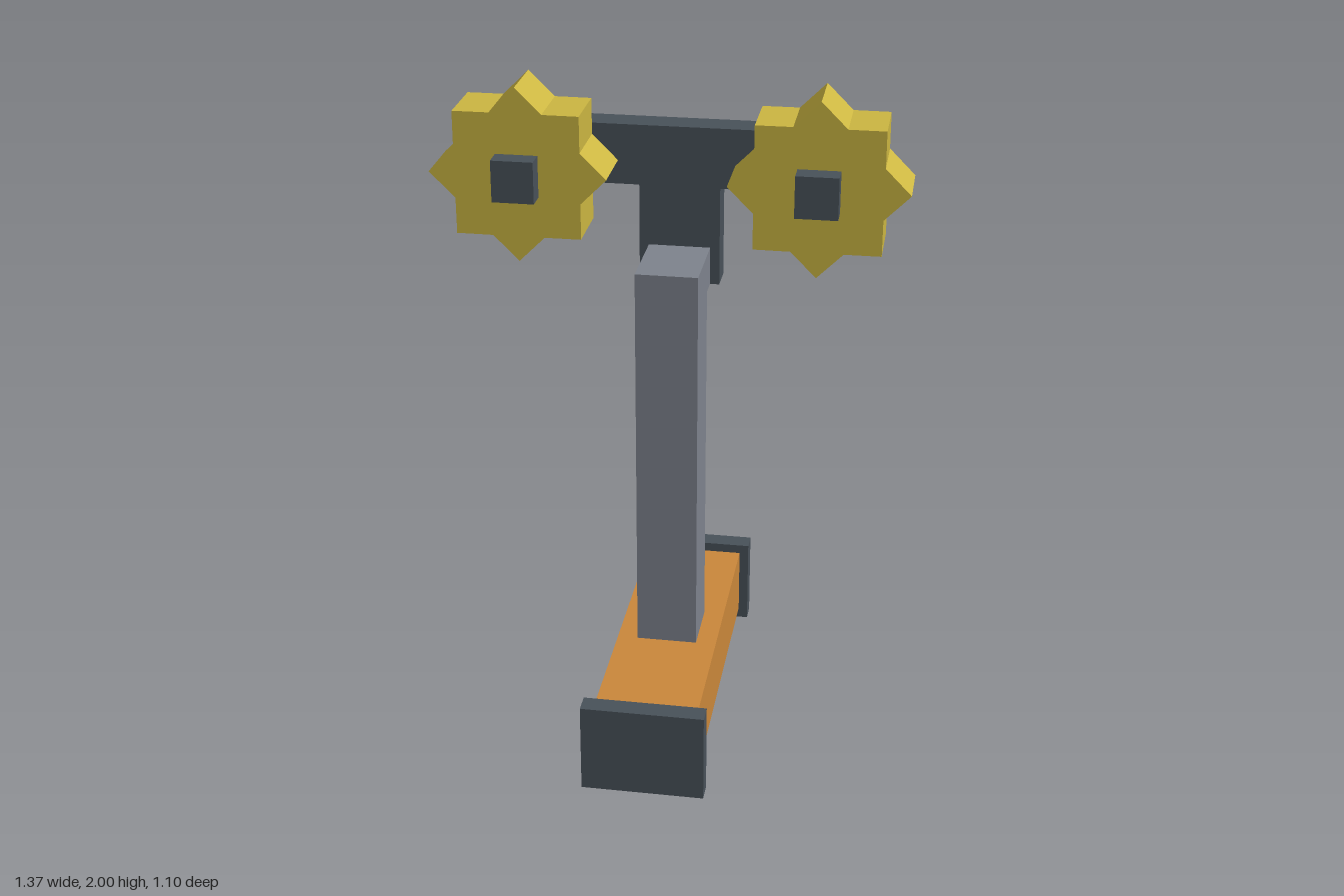
import * as THREE from 'three';

const flat = (name, color) => {
  const m = new THREE.MeshStandardMaterial({ color });
  m.name = name;
  return m;
};

export function createModel() {
  const group = new THREE.Group();
  const slate = flat('slate', 0x49525a);
  const grey = flat('grey', 0x7f848e);
  const orange = flat('orange', 0xcc883b);
  const yellow = flat('yellow', 0xcdb742);
  const amber = flat('amber', 0xd0a040);

  // Box from its min and max corners
  const box = (name, material, [x0, y0, z0], [x1, y1, z1]) => {
    const mesh = new THREE.Mesh(new THREE.BoxGeometry(x1 - x0, y1 - y0, z1 - z0), material);
    mesh.position.set((x0 + x1) / 2, (y0 + y1) / 2, (z0 + z1) / 2);
    mesh.name = name;
    group.add(mesh);
  };

  // Base beam with a plate on each end
  box('baseBeam', orange, [-0.154, 0.035, -0.49], [0.154, 0.248, 0.49]);
  box('frontEndPlate', slate, [-0.183, 0, 0.49], [0.183, 0.277, 0.55]);
  box('backEndPlate', slate, [-0.183, 0, -0.55], [0.183, 0.277, -0.49]);

  // Post with a short arm passing back through the stem
  box('post', grey, [-0.092, 0.248, -0.092], [0.092, 1.465, 0.092]);
  box('arm', grey, [-0.092, 1.35, -0.2455], [0.092, 1.465, -0.092]);

  // T-shaped bracket and the peg behind it
  box('stem', slate, [-0.12, 1.35, -0.244], [0.12, 1.65, -0.154]);
  box('crossbar', slate, [-0.55, 1.65, -0.244], [0.55, 1.832, -0.154]);
  box('peg', amber, [-0.061, 1.682, -0.275], [0.061, 1.805, -0.244]);

  // Eight-pointed cogs on square axles
  const star = new THREE.Shape();
  for (let i = 0; i < 16; i++) {
    const r = i % 2 ? 0.197 : 0.257;
    const a = (i * Math.PI) / 8;
    star[i ? 'lineTo' : 'moveTo'](r * Math.cos(a), r * Math.sin(a));
  }
  star.closePath();
  const cogGeometry = new THREE.ExtrudeGeometry(star, { depth: 0.184, bevelEnabled: false });
  cogGeometry.translate(0, 0, -0.092);
  for (const [side, s] of [['left', 1], ['right', -1]]) {
    const x = s * 0.428;
    const cog = new THREE.Mesh(cogGeometry, yellow);
    cog.position.set(x, 1.743, 0);
    cog.name = side + 'Cog';
    group.add(cog);
    box(side + 'Axle', slate, [x - 0.061, 1.682, -0.154], [x + 0.061, 1.805, 0.153]);
  }
  return group;
}
